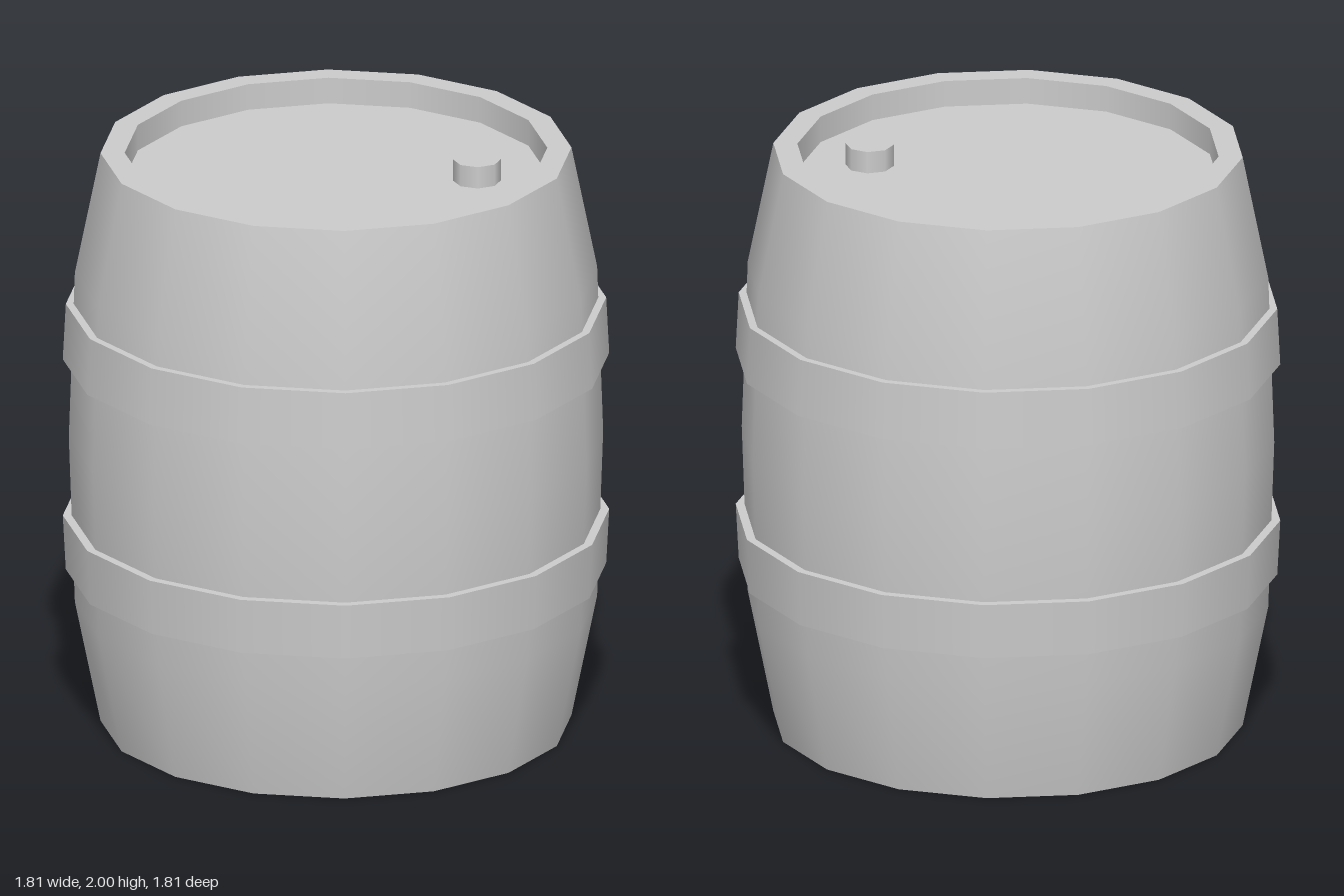
import * as THREE from 'three';
import { mergeGeometries } from 'three/addons/utils/BufferGeometryUtils.js';

const SIDES = 16;
const material = new THREE.MeshStandardMaterial({ color: 0xcccccc });

// Revolves each run of [radius, y] points on its own, so runs meet in sharp edges
function lathe(name, runs) {
  const parts = runs.map((run) =>
    new THREE.LatheGeometry(run.map(([r, y]) => new THREE.Vector2(r, y)), SIDES));
  const mesh = new THREE.Mesh(mergeGeometries(parts), material);
  mesh.name = name;
  return mesh;
}

// Hoop with a slanted outer face, sunk into the staves
function hoop(name, y0, r0, y1, r1) {
  const inner = 0.85;
  return lathe(name, [
    [[inner, y0], [r0, y0]],
    [[r0, y0], [r1, y1]],
    [[r1, y1], [inner, y1]],
  ]);
}

export function createModel() {
  const barrel = new THREE.Group();
  barrel.name = 'barrel';

  const rim = 0.78, lip = 0.7, recess = 0.09;

  // Bulging body
  barrel.add(lathe('staves', [
    [[rim, 0], [0.865, 0.42], [0.885, 1], [0.865, 1.58], [rim, 2]],
  ]));

  // Flat rims, recess walls and heads at both ends
  barrel.add(lathe('topHead', [
    [[rim, 2], [lip, 2]],
    [[lip, 2], [lip, 2 - recess]],
    [[lip, 2 - recess], [0, 2 - recess]],
  ]));
  barrel.add(lathe('bottomHead', [
    [[0, recess], [lip, recess]],
    [[lip, recess], [lip, 0]],
    [[lip, 0], [rim, 0]],
  ]));

  // Hoops, wider toward the belly
  barrel.add(hoop('lowerHoop', 0.535, 0.895, 0.725, 0.905));
  barrel.add(hoop('upperHoop', 1.275, 0.905, 1.47, 0.895));

  // Bung standing on the top head
  const bung = new THREE.Mesh(new THREE.CylinderGeometry(0.08, 0.08, 0.09, 8), material);
  bung.name = 'bung';
  bung.position.set(0.465, 1.94, 0.06);
  barrel.add(bung);

  return barrel;
}
